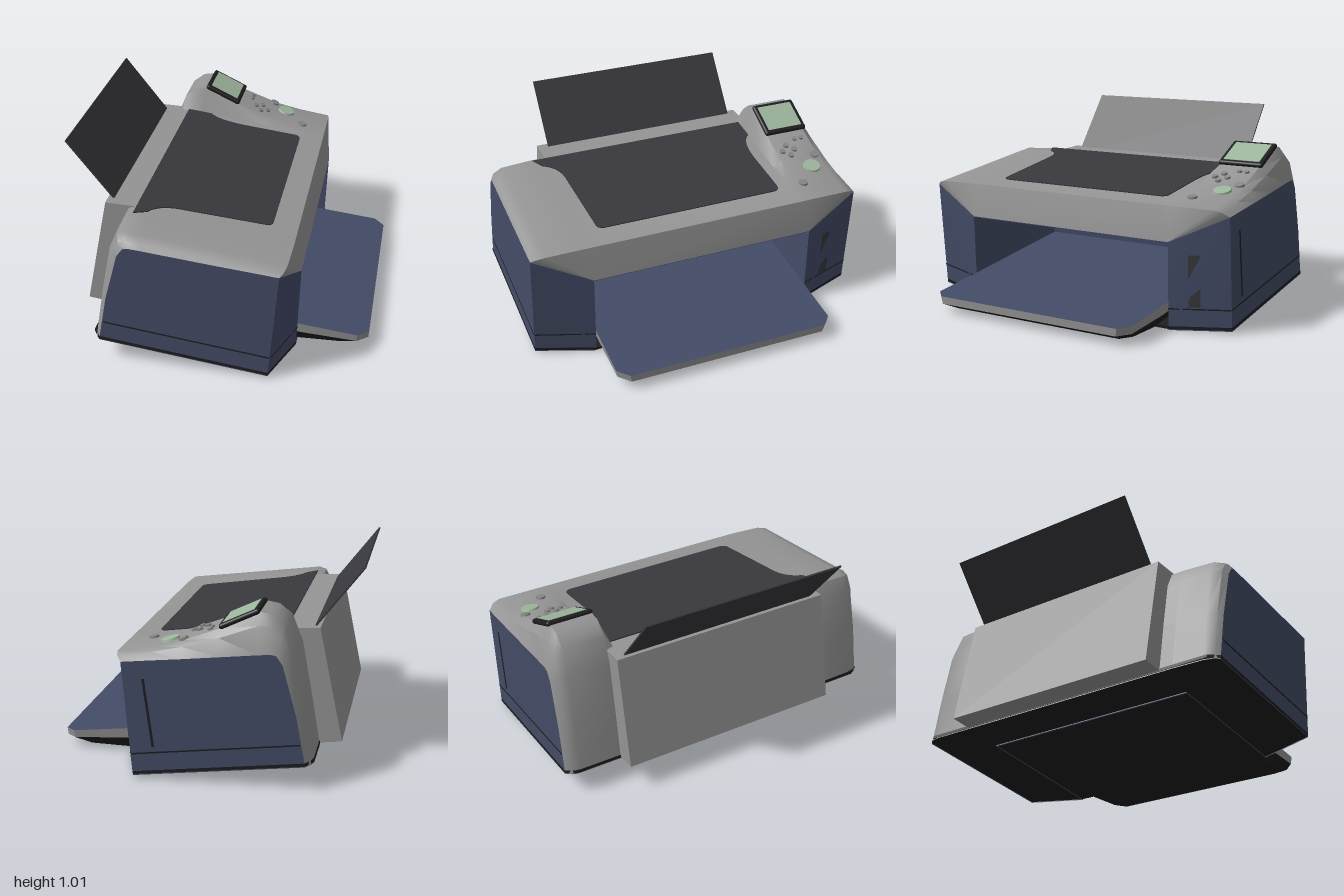
import * as THREE from 'three';
import { toCreasedNormals } from 'three/addons/utils/BufferGeometryUtils.js';
import { RoundedBoxGeometry } from 'three/addons/geometries/RoundedBoxGeometry.js';

const mat = (name, color, side = THREE.DoubleSide) => {
  const m = new THREE.MeshStandardMaterial({ color, side });
  m.name = name;
  return m;
};

// surface through rows of [x, y, z] points
function loft(rows, crease = 0.5) {
  const n = rows[0].length, index = [];
  for (let j = 0; j < rows.length - 1; j++) {
    for (let i = 0; i < n - 1; i++) {
      const a = j * n + i, c = a + n;
      index.push(a, a + 1, c, a + 1, c + 1, c);
    }
  }
  const g = new THREE.BufferGeometry();
  g.setAttribute('position', new THREE.Float32BufferAttribute(rows.flat(2), 3));
  g.setIndex(index);
  return toCreasedNormals(g, crease);
}

// flat convex face
function face(points) {
  const g = new THREE.BufferGeometry(), index = [];
  for (let i = 1; i < points.length - 1; i++) index.push(0, i, i + 1);
  g.setAttribute('position', new THREE.Float32BufferAttribute(points.flat(), 3));
  g.setIndex(index);
  g.computeVertexNormals();
  return g;
}

const shapeOf = (pts) => new THREE.Shape(pts.map((p) => new THREE.Vector2(p[0], p[1])));

// horizontal plate from [x, z] outline
function plate(pts, top, thick) {
  return new THREE.ExtrudeGeometry(shapeOf(pts), { depth: thick, bevelEnabled: false })
    .rotateX(Math.PI / 2).translate(0, top, 0);
}

export function createModel() {
  const grey = mat('casing grey', 0x949494);
  const blue = mat('slate blue', 0x434b66);
  const charcoal = mat('charcoal', 0x38383d);
  const black = mat('black', 0x1d1d1f);
  const screenGreen = mat('display green', 0x9cb49c);
  const button = mat('button grey', 0x858585);

  const model = new THREE.Group();
  model.name = 'printer';
  const body = new THREE.Group();
  body.name = 'printerBody';
  body.rotation.set(0.126, 1.024, 0, 'YXZ'); // turned and pitched forward
  body.position.set(-0.018, 0, 0.03);
  model.add(body);

  const add = (name, geo, material, x = 0, y = 0, z = 0) => {
    const m = new THREE.Mesh(geo, material);
    m.name = name;
    m.position.set(x, y, z);
    body.add(m);
    return m;
  };

  // casing shell: profiles [z, y] from back bottom over the top to the front lip
  const flat = [[-0.555, 0.05], [-0.545, 0.3], [-0.53, 0.55], [-0.5, 0.635], [-0.46, 0.655],
    [-0.382, 0.655], [-0.183, 0.655], [0, 0.655], [0.15, 0.655], [0.325, 0.655]];
  const hump = [[-0.555, 0.05], [-0.545, 0.3], [-0.53, 0.58], [-0.495, 0.72], [-0.44, 0.775],
    [-0.382, 0.793], [-0.183, 0.728], [0, 0.685], [0.15, 0.664], [0.325, 0.656]];
  const edge = [[-0.52, 0.05], [-0.505, 0.3], [-0.47, 0.55], [-0.445, 0.597], [-0.42, 0.605],
    [-0.36, 0.607], [-0.183, 0.61], [0, 0.613], [0.15, 0.617], [0.296, 0.62]];
  const blend = (p, q, t) => p.map((a, i) => [a[0] + (q[i][0] - a[0]) * t, a[1] + (q[i][1] - a[1]) * t]);
  const row = (x, p, tipX) => [...p.map(([z, y]) => [x, y, z]), [tipX, 0.49, 0.38]];
  add('casingShell', loft([
    row(-0.89, edge, -0.595), row(-0.87, blend(edge, flat, 0.5), -0.595),
    row(-0.82, blend(edge, flat, 0.85), -0.595), row(-0.655, flat, -0.595),
    row(0.555, flat, 0.595), row(0.6, hump, 0.595), row(0.82, hump, 0.595),
    row(0.86, blend(edge, hump, 0.7), 0.595), row(0.89, edge, 0.595),
  ], 0.6), grey);

  // blue cheeks either side of the paper slot
  for (const s of [-1, 1]) {
    const side = s < 0 ? 'right' : 'left';
    const front = (t, y, out = 0) => { // point on the slanted front cheek
      const k = (0.62 - y) / 0.57, za = 0.38 + 0.04 * (0.49 - y) / 0.44;
      return [s * (0.595 + 0.295 * t), y, za + (0.296 + 0.024 * k - za) * t + out];
    };
    add(side + 'SidePanel', face([[s * 0.89, 0.05, 0.32],
      ...edge.slice().reverse().map(([z, y]) => [s * 0.89, y, z])]), blue);
    add(side + 'FrontCheek', face([[s * 0.595, 0.05, 0.42], [s * 0.89, 0.05, 0.32],
      [s * 0.89, 0.62, 0.296], [s * 0.595, 0.49, 0.38]]), blue);
    add(side + 'SlotWall', face([[s * 0.595, 0.05, -0.334], [s * 0.595, 0.05, 0.42],
      [s * 0.595, 0.49, 0.38], [s * 0.595, 0.49, -0.334]]), blue);
    add(side + 'SideSeam', new THREE.BoxGeometry(0.004, 0.007, 0.82), black, s * 0.89, 0.16, -0.097);
    add(side + 'FrontSeam', face([front(0, 0.156, 0.004), front(1, 0.156, 0.004),
      front(1, 0.163, 0.004), front(0, 0.163, 0.004)]), black);
    if (s > 0) {
      add('cardSlot', face([front(0.33, 0.17, 0.005), front(0.52, 0.17, 0.005),
        front(0.52, 0.43, 0.005), front(0.33, 0.43, 0.005)]), charcoal);
      add('sideVent', new THREE.BoxGeometry(0.004, 0.34, 0.012), black, 0.89, 0.36, 0.2);
    }
  }
  add('slotBackWall', new THREE.BoxGeometry(1.19, 0.44, 0.008), blue, 0, 0.27, -0.336);
  add('slotCeiling', new THREE.BoxGeometry(1.19, 0.006, 0.714), blue, 0, 0.488, 0.02);

  // base
  add('base', plate([[-0.595, 0.42], [0.595, 0.42], [0.89, 0.32], [0.892, -0.52], [0.84, -0.557],
    [-0.84, -0.557], [-0.892, -0.52], [-0.89, 0.32]], 0.07, 0.015), black);

  // scanner lid panel
  const lid = shapeOf([[-0.655, -0.462], [-0.62, -0.4]]);
  lid.quadraticCurveTo(-0.535, -0.36, -0.535, -0.24);
  lid.lineTo(-0.515, 0.16);
  lid.quadraticCurveTo(-0.515, 0.2, -0.475, 0.2);
  lid.lineTo(0.455, 0.2);
  lid.quadraticCurveTo(0.495, 0.2, 0.495, 0.16);
  lid.lineTo(0.492, -0.12);
  lid.quadraticCurveTo(0.495, -0.28, 0.56, -0.33);
  lid.lineTo(0.562, -0.462);
  add('lidPanel', new THREE.ExtrudeGeometry(lid, { depth: 0.008, bevelEnabled: false })
    .rotateX(Math.PI / 2), charcoal, 0, 0.66, 0);

  // rear paper feeder and its support sheet
  const feeder = shapeOf([[-0.46, 0.06], [-0.46, 0.652], [-0.62, 0.638], [-0.665, 0.06]]);
  add('rearFeeder', new THREE.ExtrudeGeometry(feeder, { depth: 1.185, bevelEnabled: false })
    .rotateY(-Math.PI / 2), grey, 0.6, 0, 0);
  add('paperSupport', new THREE.BoxGeometry(1.08, 0.42, 0.008), charcoal, 0.01, 0.752, -0.706)
    .rotation.x = -Math.PI / 4;

  // output tray: rings from the underside up to the rim
  const ring = (h, frontZ, cut, yFront, yBack) => [
    [-h, yBack, -0.33], [-h, yBack, 0.43], [-h, yFront, frontZ - cut], [-h + cut, yFront, frontZ],
    [h - cut, yFront, frontZ], [h, yFront, frontZ - cut], [h, yBack, 0.43], [h, yBack, -0.33],
  ].map(([x, y, z]) => [x - 0.01, y, z]);
  const under = ring(0.54, 0.69, 0.05, 0.094, 0.063);
  const mid = ring(0.578, 0.767, 0.055, 0.143, 0.125);
  const rim = ring(0.584, 0.765, 0.055, 0.182, 0.178);
  add('trayUnderside', loft([under, mid], 0.3), black);
  add('trayBottom', loft([[under[0], under[1], under[2], under[3]],
    [under[7], under[6], under[5], under[4]]], 0.3), black);
  add('trayRim', loft([mid, rim], 0.3), grey);
  add('trayTop', loft([[rim[0], rim[1], rim[2], rim[3]],
    [rim[7], rim[6], rim[5], rim[4]]], 0.3), blue);

  // display
  const display = new THREE.Group();
  display.name = 'display';
  display.position.set(0.715, 0.768, -0.283);
  display.rotation.x = 0.316;
  const frame = new THREE.Mesh(new RoundedBoxGeometry(0.245, 0.026, 0.21, 3, 0.012), black);
  frame.name = 'displayFrame';
  const glass = new THREE.Mesh(new THREE.BoxGeometry(0.2, 0.006, 0.165), screenGreen);
  glass.name = 'displayScreen';
  glass.position.y = 0.012;
  display.add(frame, glass);
  body.add(display);

  // buttons resting on the sloping control panel
  const disc = (name, x, z, r, m) => {
    const i = Math.max(1, hump.findIndex((p, k) => k > 5 && p[0] >= z));
    const [a, b] = [hump[i - 1], hump[i]];
    const y = a[1] + (b[1] - a[1]) * (z - a[0]) / (b[0] - a[0]);
    add(name, new THREE.CylinderGeometry(r * 0.9, r, 0.016, 24), m, x, y + 0.002, z)
      .rotation.x = Math.atan2(a[1] - b[1], b[0] - a[0]);
  };
  disc('startButton', 0.744, 0.08, 0.05, screenGreen);
  for (let k = 0; k < 4; k++) {
    const a = k * Math.PI / 2;
    disc('arrowButton', 0.67 + 0.035 * Math.cos(a), -0.06 + 0.035 * Math.sin(a), 0.017, button);
  }
  for (const [x, z, r] of [[0.8, 0, 0.026], [0.78, -0.13, 0.014], [0.74, -0.13, 0.014], [0.637, 0.19, 0.026]]) {
    disc('panelButton', x, z, r, button);
  }
  return model;
}
